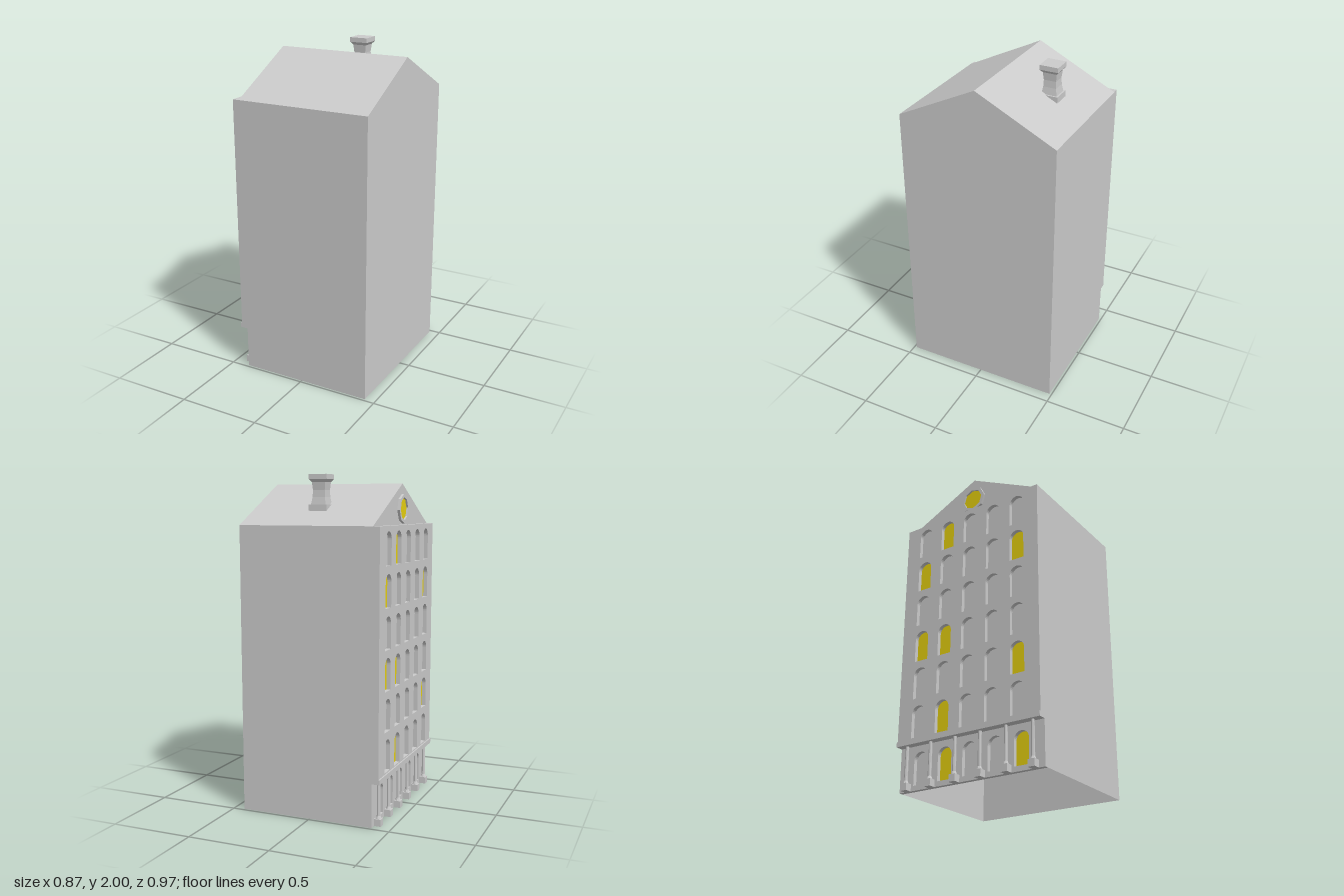
import * as THREE from 'three';

const BACK = 0.435, FACADE = -0.43, SETBACK = -0.39; // x of end wall, upper facade, recessed planes
const HALF = 0.485, EAVE = 1.71, RIDGE = 1.95, PORCH = 0.26;
const DEPTH = 0.025; // window recess
const COLS = [-0.34, -0.17, 0, 0.17, 0.34];

const grey = new THREE.MeshStandardMaterial({ color: 0xcccccc, side: THREE.DoubleSide, flatShading: true });
const yellow = new THREE.MeshStandardMaterial({ color: 0xe6d010, side: THREE.DoubleSide, flatShading: true });

const polygon = (pts) => new THREE.Shape(pts.map(([x, y]) => new THREE.Vector2(x, y)));

function arch(z, y, w = 0.094, h = 0.192) {
  const r = w / 2, s = new THREE.Shape();
  s.moveTo(z - r, y);
  s.lineTo(z + r, y);
  s.lineTo(z + r, y + h - r);
  s.absarc(z, y + h - r, r, 0, Math.PI, false);
  s.lineTo(z - r, y);
  return s;
}

function octagon(z, y, r) {
  const pts = [];
  for (let i = 0; i < 8; i++) {
    const a = (5 + 45 * i) * Math.PI / 180;
    pts.push([z + r * Math.cos(a), y + r * Math.sin(a)]);
  }
  return polygon(pts);
}

export function createModel() {
  const group = new THREE.Group();
  function add(name, geometry, material = grey, parent = group) {
    const mesh = new THREE.Mesh(geometry, material);
    mesh.name = name;
    parent.add(mesh);
    return mesh;
  }
  // shape drawn in (z, y), facing -x, standing at the given x
  const facing = (shape, x) => new THREE.ShapeGeometry(shape, 8).rotateY(-Math.PI / 2).translate(x, 0, 0);
  const slab = (shape, x, depth) => new THREE.ExtrudeGeometry(shape, { depth, bevelEnabled: false, curveSegments: 8 })
    .rotateY(-Math.PI / 2).translate(x, 0, 0);
  // four-cornered panel
  function quad(name, a, b, c, d) {
    const g = new THREE.BufferGeometry();
    g.setAttribute('position', new THREE.Float32BufferAttribute([...a, ...b, ...c, ...d], 3));
    g.setIndex([0, 1, 2, 0, 2, 3]);
    g.computeVertexNormals();
    return add(name, g);
  }

  // plain side walls, stepped in over the porch
  const side = polygon([[SETBACK, 0], [BACK, 0], [BACK, EAVE], [FACADE, EAVE], [FACADE, PORCH], [SETBACK, PORCH]]);
  add('frontWall', new THREE.ShapeGeometry(side).translate(0, 0, HALF));
  const rear = new THREE.ShapeGeometry(side).scale(-1, 1, 1).rotateY(Math.PI).translate(0, 0, -HALF);
  rear.index.array.reverse();
  rear.computeVertexNormals();
  add('backWall', rear);

  // plain gabled end wall
  const end = polygon([[-HALF, 0], [HALF, 0], [HALF, EAVE], [0, RIDGE], [-HALF, EAVE]]);
  add('endWall', new THREE.ShapeGeometry(end).rotateY(Math.PI / 2).translate(BACK, 0, 0));

  // roof slopes and the ledge in front of the pediment
  quad('frontRoof', [SETBACK, EAVE, HALF], [BACK, EAVE, HALF], [BACK, RIDGE, 0], [SETBACK, RIDGE, 0]);
  quad('backRoof', [BACK, EAVE, -HALF], [SETBACK, EAVE, -HALF], [SETBACK, RIDGE, 0], [BACK, RIDGE, 0]);
  quad('roofLedge', [FACADE, EAVE, HALF], [SETBACK, EAVE, HALF], [SETBACK, EAVE, -HALF], [FACADE, EAVE, -HALF]);

  // window walls with recessed arched panes
  function windowWall(name, x, y0, y1, rows, lit) {
    const wall = polygon([[-HALF, y0], [HALF, y0], [HALF, y1], [-HALF, y1]]);
    rows.forEach((y, r) => COLS.forEach((z, c) => {
      wall.holes.push(arch(z, y));
      add(name + 'Pane', facing(arch(z, y), x + DEPTH), lit.includes(`${r},${c}`) ? yellow : grey);
    }));
    add(name, slab(wall, x + DEPTH, DEPTH));
  }
  const upperRows = [0, 1, 2, 3, 4, 5].map((i) => 0.298 + 0.238 * i);
  windowWall('upperFacade', FACADE, PORCH, EAVE, upperRows, ['0,1', '1,4', '2,0', '2,1', '4,0', '4,4', '5,1']);
  windowWall('groundFacade', SETBACK, 0, PORCH, [0.03], ['0,1', '0,4']);

  // pediment with its eight-sided window
  add('pediment', facing(polygon([[-HALF, EAVE], [HALF, EAVE], [0, RIDGE]]), SETBACK));
  const ring = octagon(-0.003, 1.803, 0.087);
  ring.holes.push(octagon(-0.003, 1.803, 0.067));
  add('roundWindowFrame', slab(ring, SETBACK, 0.015));
  add('roundWindowPane', facing(octagon(-0.003, 1.803, 0.067), SETBACK - 0.004), yellow);

  // cornice over the porch
  add('cornice', new THREE.BoxGeometry(0.05, 0.03, 2 * HALF).translate(-0.413, 0.275, 0));

  // porch columns
  for (let i = 0; i < 6; i++) {
    const column = new THREE.Group();
    column.name = 'column';
    column.position.set(-0.411, 0, -0.425 + 0.17 * i);
    add('columnBase', new THREE.BoxGeometry(0.042, 0.042, 0.042).translate(0, 0.021, 0), grey, column);
    add('columnFoot', new THREE.CylinderGeometry(0.011, 0.018, 0.018, 8).translate(0, 0.051, 0), grey, column);
    add('columnShaft', new THREE.CylinderGeometry(0.01, 0.011, 0.2, 8).translate(0, 0.16, 0), grey, column);
    group.add(column);
  }

  // square chimney with waisted body and cap
  const profile = [[0, 1.78], [0.056, 1.78], [0.056, 1.828], [0.046, 1.828], [0.039, 1.87], [0.037, 1.91],
    [0.042, 1.955], [0.056, 1.972], [0.056, 2], [0, 2]]
    .map(([h, y]) => new THREE.Vector2(h * Math.SQRT2, y));
  add('chimney', new THREE.LatheGeometry(profile, 4, Math.PI / 4).translate(0.014, 0, -0.264));

  return group;
}
